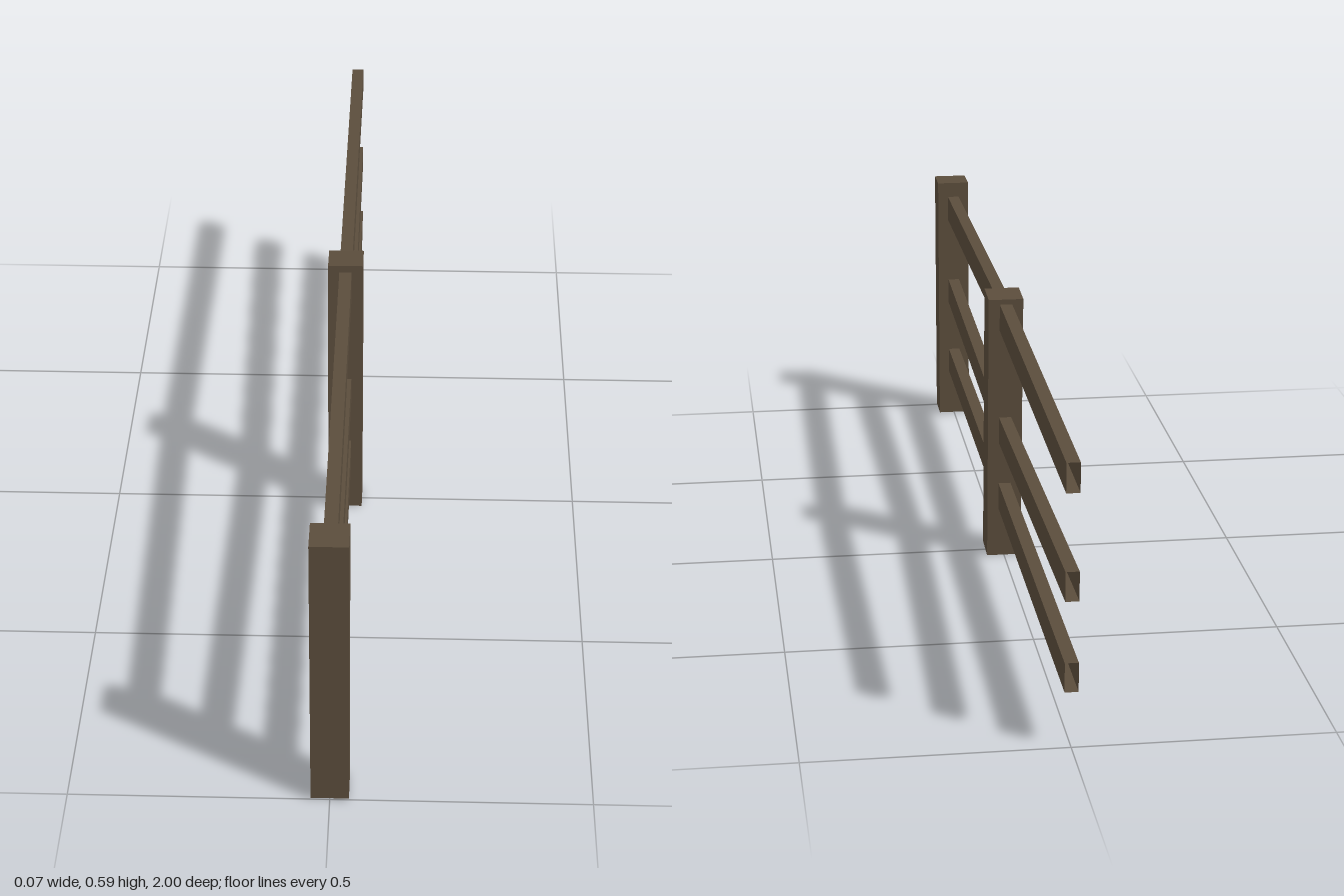
import * as THREE from 'three';

const POST = 0.073, POST_H = 0.588, RAIL_W = 0.026, RAIL_H = 0.058;
const LEAN = -0.06;
const MID = { y: 0.2955, z: -0.017 };

// Hollow box: keeps only the listed faces (order: +x -x +y -y +z -z)
function openBox(w, h, d, faces) {
  const g = new THREE.BoxGeometry(w, h, d);
  const all = Array.from(g.index.array);
  g.setIndex(faces.flatMap((f) => all.slice(f * 6, f * 6 + 6)));
  g.clearGroups();
  return g;
}

// Open-ended rail from (y0, z0) to (y1, z1), with upright end cuts
function railGeometry(y0, z0, y1, z1) {
  const g = openBox(RAIL_W, RAIL_H, Math.abs(z1 - z0), [0, 1, 2, 3]);
  g.translate(0, 0, (z0 + z1) / 2);
  const p = g.attributes.position;
  for (let i = 0; i < p.count; i++) {
    const t = (p.getZ(i) - z0) / (z1 - z0);
    p.setY(i, p.getY(i) + y0 + (y1 - y0) * t);
  }
  g.computeVertexNormals();
  return g;
}

export function createModel() {
  const group = new THREE.Group();
  const wood = new THREE.MeshStandardMaterial({ color: 0x5b4d3c, side: THREE.DoubleSide });
  wood.name = 'weathered wood';

  const add = (name, geometry) => {
    const mesh = new THREE.Mesh(geometry, wood);
    mesh.name = name;
    group.add(mesh);
    return mesh;
  };

  // Posts, open underneath
  const postGeometry = openBox(POST, POST_H, POST, [0, 1, 2, 4, 5]);
  add('endPost', postGeometry).position.set(0, 0.297, 1 - POST / 2);
  const middle = add('leaningPost', postGeometry);
  middle.position.set(0, MID.y, MID.z);
  middle.rotation.x = LEAN;

  // Three rails on each side of the leaning post: outer and inner heights
  const rails = [
    ['bottom', 0.14, 0.14],
    ['middle', 0.319, 0.292],
    ['top', 0.528, 0.547],
  ];
  for (const [name, outer, inner] of rails) {
    const postZ = MID.z + (inner - MID.y) * Math.tan(LEAN);
    add(name + 'FrontRail', railGeometry(outer, 0.925, inner, postZ + 0.03));
    add(name + 'BackRail', railGeometry(outer, -1, inner, postZ - 0.03));
  }
  return group;
}
